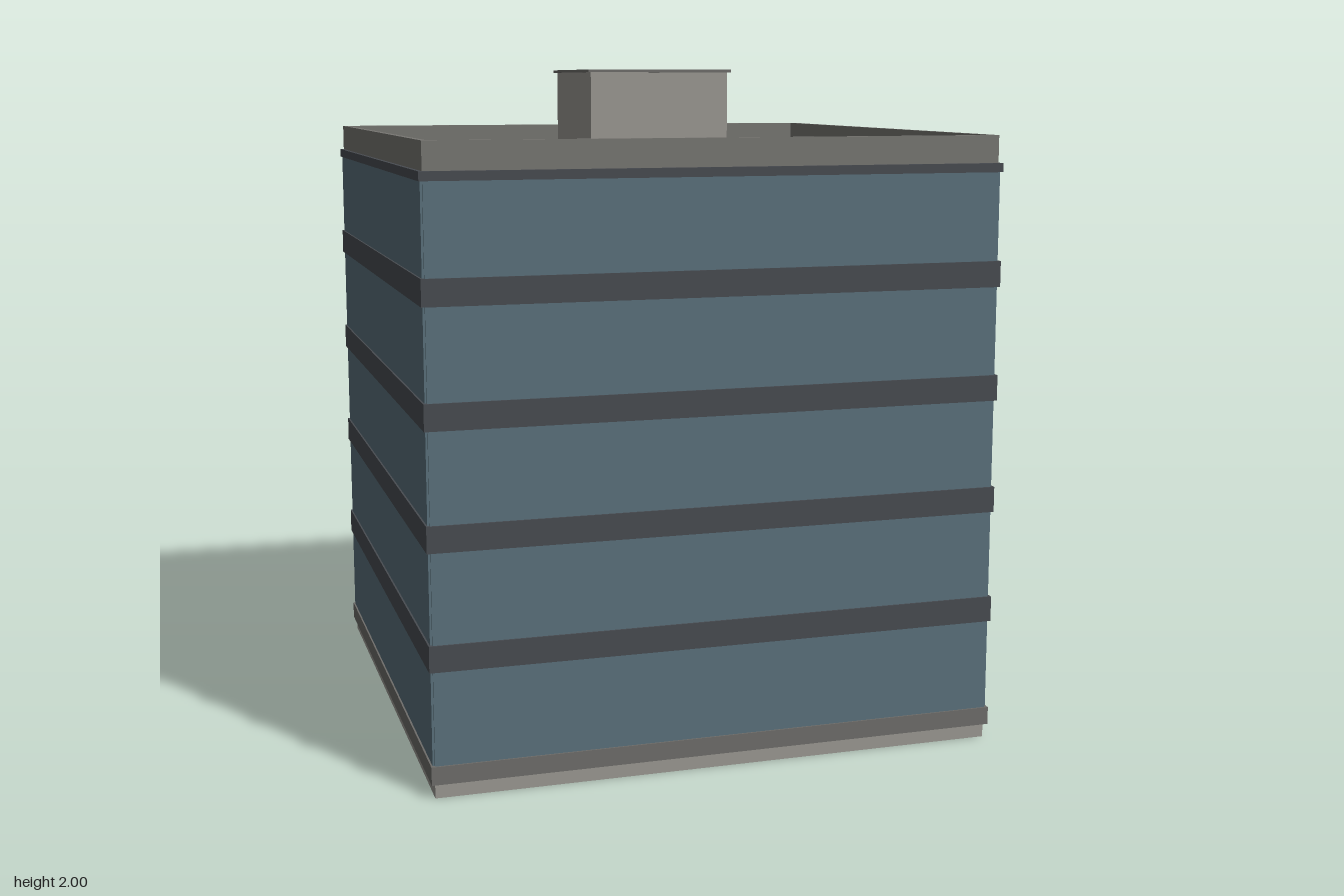
import * as THREE from 'three';

const paint = (color) => new THREE.MeshStandardMaterial({ color });
const wall = paint(0x9a9892), trim = paint(0x6e6d6a), parapetGrey = paint(0x777672);
const band = paint(0x484c51), glass = paint(0x5a707b), roofGrey = paint(0x565658);
const dark = paint(0x33343a), steel = paint(0xa5a5a5);

// Box given by its lower and upper corner.
function box(parent, name, material, [x0, y0, z0], [x1, y1, z1]) {
  const mesh = new THREE.Mesh(new THREE.BoxGeometry(x1 - x0, y1 - y0, z1 - z0), material);
  mesh.position.set((x0 + x1) / 2, (y0 + y1) / 2, (z0 + z1) / 2);
  mesh.name = name;
  parent.add(mesh);
  return mesh;
}

// Square slab centred on the tower axis.
const slab = (parent, name, material, half, y0, y1) =>
  box(parent, name, material, [-half, y0, -half], [half, y1, half]);

export function createModel() {
  const model = new THREE.Group();
  model.name = 'officeBuilding';
  const tower = new THREE.Group();
  tower.name = 'tower';
  tower.position.x = -0.11;
  model.add(tower);

  const H = 0.836, bandHalf = 0.847;

  // Core, plinth trim and roof deck
  slab(tower, 'core', wall, H, 0, 1.72);
  slab(tower, 'plinthTrim', trim, bandHalf, 0.042, 0.095);
  slab(tower, 'roofDeck', roofGrey, H - 0.002, 1.72, 1.738);

  // Spandrel bands and the glazing of each storey
  const bands = [0, 1, 2, 3].map((i) => [0.365 + i * 0.336, 0.441 + i * 0.336]);
  bands.push([1.706, 1.732]);
  let sill = 0.095;
  for (const [y0, y1] of bands) {
    if (y1 < 1.6) slab(tower, 'spandrelBand', band, bandHalf, y0, y1);
    for (let side = 0; side < 4; side++) {
      const face = new THREE.Group();
      face.name = 'storeyFace';
      face.rotation.y = side * Math.PI / 2;
      tower.add(face);
      box(face, 'windowPane', glass, [-H, sill, H - 0.004], [H, y0, H + 0.006]);
      // The top band is a ring, leaving the roof deck open
      if (y1 > 1.6) box(face, 'topBand', band, [-bandHalf, y0, H - 0.015], [bandHalf, y1, bandHalf]);
    }
    sill = y1;
  }

  // Parapet ring
  const ring = new THREE.Shape([[-H, -H], [H, -H], [H, H], [-H, H]].map((p) => new THREE.Vector2(...p)));
  const h = H - 0.017;
  ring.holes.push(new THREE.Path([[-h, -h], [-h, h], [h, h], [h, -h]].map((p) => new THREE.Vector2(...p))));
  const parapet = new THREE.Mesh(
    new THREE.ExtrudeGeometry(ring, { depth: 0.082, bevelEnabled: false }), parapetGrey);
  parapet.rotation.x = -Math.PI / 2;
  parapet.position.y = 1.73;
  parapet.name = 'parapet';
  tower.add(parapet);

  // Rooftop plant room
  slab(tower, 'plantRoom', wall, 0.217, 1.735, 1.992);
  slab(tower, 'plantRoomCap', trim, 0.227, 1.992, 2);

  // Entrance canopy on two slim posts
  const entrance = new THREE.Group();
  entrance.name = 'entrance';
  model.add(entrance);
  box(entrance, 'canopy', dark, [0.726, 0.325, -0.197], [0.953, 0.338, 0.197]);
  for (const z of [-0.188, 0.188]) {
    const post = new THREE.Mesh(new THREE.CylinderGeometry(0.0055, 0.0055, 0.27, 12), steel);
    post.position.set(0.945, 0.19, z);
    post.name = 'canopyPost';
    entrance.add(post);
  }

  // Door frame with a thin centre mullion
  for (const [z, w] of [[-0.083, 0.004], [0, 0.002], [0.083, 0.004]])
    box(entrance, 'doorJamb', dark, [0.724, 0.057, z - w], [0.74, 0.272, z + w]);
  box(entrance, 'doorHead', dark, [0.724, 0.267, -0.087], [0.74, 0.275, 0.087]);

  return model;
}
